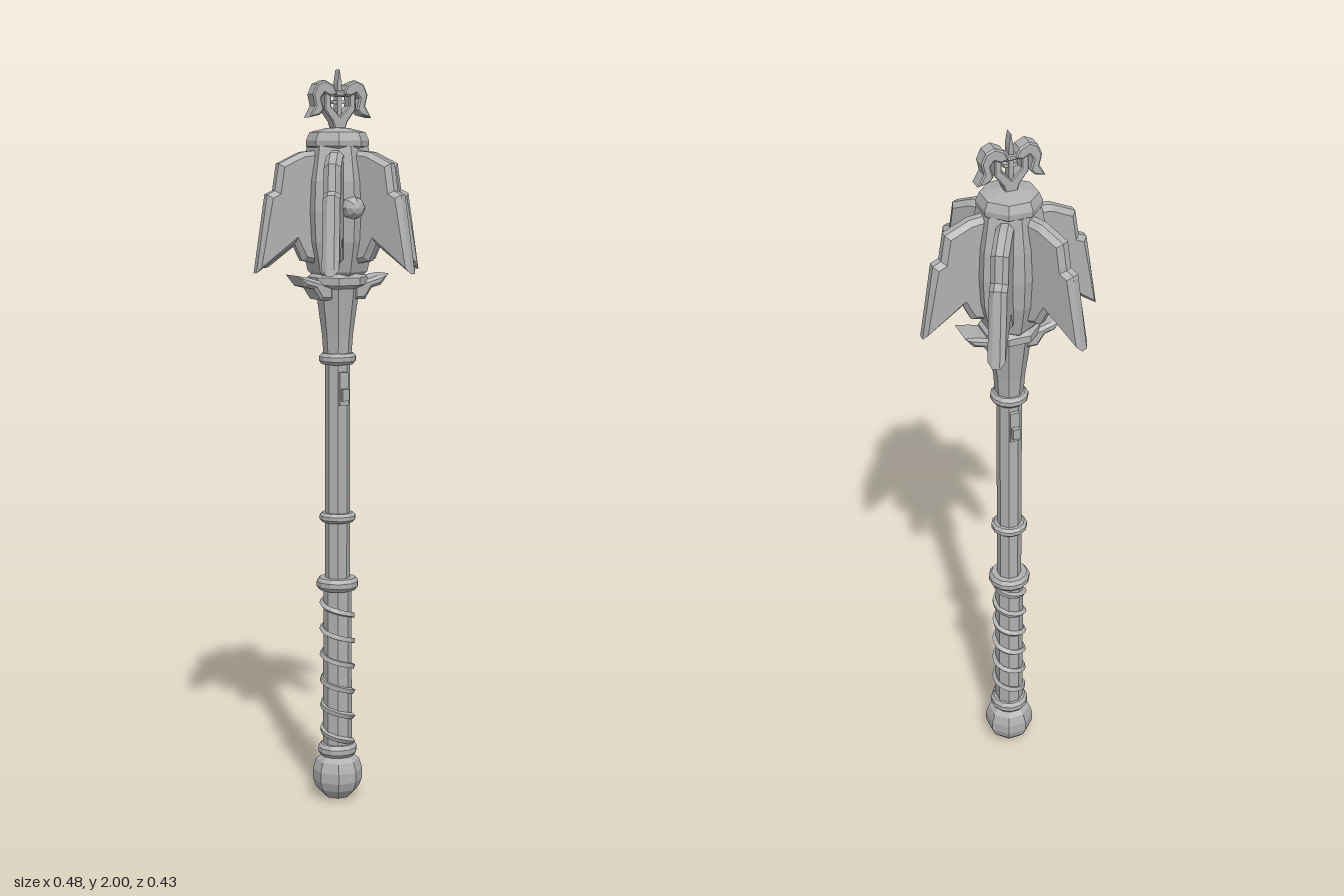
import * as THREE from 'three';

const steel = new THREE.MeshStandardMaterial({ color: 0xb0b0b0, flatShading: true });
steel.name = 'steel grey';

export function createModel() {
  const model = new THREE.Group();
  model.name = 'flangedMace';

  const add = (name, geometry, parent = model) => {
    const mesh = new THREE.Mesh(geometry, steel);
    mesh.name = name;
    parent.add(mesh);
    return mesh;
  };
  // faceted turned part from [radius, height] pairs, bottom to top
  const turned = (name, pts, sides = 8, start = Math.PI / sides) =>
    add(name, new THREE.LatheGeometry(pts.map(p => new THREE.Vector2(...p)), sides, start));
  // bevelled plate centred on z whose outline stays at the given points
  const plate = (pts, thickness, bevel, holes = []) => {
    const shape = new THREE.Shape(pts.map(p => new THREE.Vector2(...p)));
    for (const h of holes) shape.holes.push(new THREE.Path(h.map(p => new THREE.Vector2(...p))));
    const depth = thickness - 2 * bevel;
    return new THREE.ExtrudeGeometry(shape, {
      depth, bevelEnabled: bevel > 0, bevelThickness: bevel, bevelSize: bevel,
      bevelOffset: -bevel, bevelSegments: 1
    }).translate(0, 0, -depth / 2);
  };
  const ring = (name, y, r, h) => turned(name, [
    [0.03, y - h / 2], [r - 0.008, y - h / 2], [r, y - h / 5],
    [r, y + h / 5], [r - 0.008, y + h / 2], [0.03, y + h / 2]], 12);

  // pommel, grip and shaft
  turned('pommel', [[0, 0.005], [0.036, 0.01], [0.06, 0.036], [0.069, 0.06],
    [0.069, 0.088], [0.06, 0.115], [0.04, 0.132], [0, 0.135]]);
  turned('grip', [[0.04, 0.12], [0.039, 0.61]]);
  turned('shaft', [[0.034, 0.6], [0.034, 1.26]]);
  ring('pommelRing', 0.145, 0.054, 0.034);
  ring('gripRing', 0.615, 0.058, 0.034);
  ring('middleRing', 0.8, 0.05, 0.026);
  ring('upperRing', 1.235, 0.051, 0.03);

  // spiral wrap around the grip
  const turns = 6, helix = [];
  for (let i = 0; i <= turns * 8; i++) {
    const a = i * Math.PI / 4 + Math.PI / 8;
    helix.push(new THREE.Vector3(Math.cos(a) * 0.041, 0.165 + 0.43 * i / (turns * 8), Math.sin(a) * 0.041));
  }
  add('gripWrap', new THREE.TubeGeometry(new THREE.CatmullRomCurve3(helix), turns * 16, 0.009, 4));

  // small catches on the front and back of the shaft
  for (const s of [1, -1]) {
    add('catchPlate', new THREE.BoxGeometry(0.026, 0.09, 0.012)).position.set(0, 1.155, s * 0.036);
    add('catchStud', new THREE.BoxGeometry(0.02, 0.032, 0.022)).position.set(0, 1.14, s * 0.043);
  }

  // socket, hexagonal core and cap
  turned('socket', [[0.038, 1.245], [0.042, 1.3], [0.057, 1.41], [0.06, 1.43]]);
  turned('coreCollar', [[0.05, 1.42], [0.08, 1.435], [0.08, 1.455], [0.06, 1.47]]);
  turned('core', [[0.05, 1.44], [0.08, 1.47], [0.1, 1.55], [0.105, 1.63],
    [0.1, 1.71], [0.082, 1.8], [0, 1.81]], 6, 0);
  turned('cap', [[0.06, 1.785], [0.083, 1.8], [0.084, 1.815], [0.074, 1.837], [0.03, 1.848], [0, 1.85]]);

  // six winged flanges
  const blade = plate([[0.06, 1.49], [0.108, 1.5], [0.13, 1.545], [0.24, 1.47], [0.208, 1.675],
    [0.186, 1.685], [0.175, 1.755], [0.11, 1.785], [0.06, 1.79]], 0.045, 0.013);
  for (let i = 0; i < 6; i++) add('flange', blade).rotation.y = i * Math.PI / 3;

  // side claws below the flanges
  const claw = plate([[0.03, 1.395], [0.065, 1.395], [0.085, 1.425], [0.112, 1.432],
    [0.136, 1.462], [0.1, 1.456], [0.07, 1.447], [0.03, 1.445]], 0.085, 0.008);
  for (const a of [0, Math.PI]) add('sideClaw', claw).rotation.y = a;

  // round stud on the front of the core
  const stud = add('frontStud', new THREE.SphereGeometry(0.032, 8, 6));
  stud.position.set(0, 1.64, 0.094);
  stud.rotation.x = Math.PI / 2;

  // crest: cup, two curled horns, and a cross-shaped spike
  const crest = new THREE.Group();
  crest.name = 'crest';
  model.add(crest);
  add('crestCup', plate([[-0.014, 1.84], [0.014, 1.84], [0.022, 1.865], [0.045, 1.895], [0.045, 1.935],
    [0.026, 1.945], [-0.026, 1.945], [-0.045, 1.935], [-0.045, 1.895], [-0.022, 1.865]], 0.036, 0.003,
    [[[0, 1.878], [-0.026, 1.905], [-0.026, 1.93], [0.026, 1.93], [0.026, 1.905]]]), crest);
  const horn = plate([[0.008, 1.935], [0.03, 1.93], [0.046, 1.938], [0.056, 1.925], [0.048, 1.895],
    [0.06, 1.882], [0.09, 1.875], [0.073, 1.905], [0.08, 1.935], [0.068, 1.962],
    [0.045, 1.972], [0.02, 1.96]], 0.042, 0.004);
  for (const a of [0, Math.PI]) add('crestHorn', horn, crest).rotation.y = a;
  add('crestSpike', plate([[-0.006, 1.86], [0.006, 1.86], [0.006, 1.965], [0, 2], [-0.006, 1.965]], 0.026, 0), crest);
  add('crestCrossbar', new THREE.BoxGeometry(0.036, 0.009, 0.022), crest).position.y = 1.915;

  return model;
}
